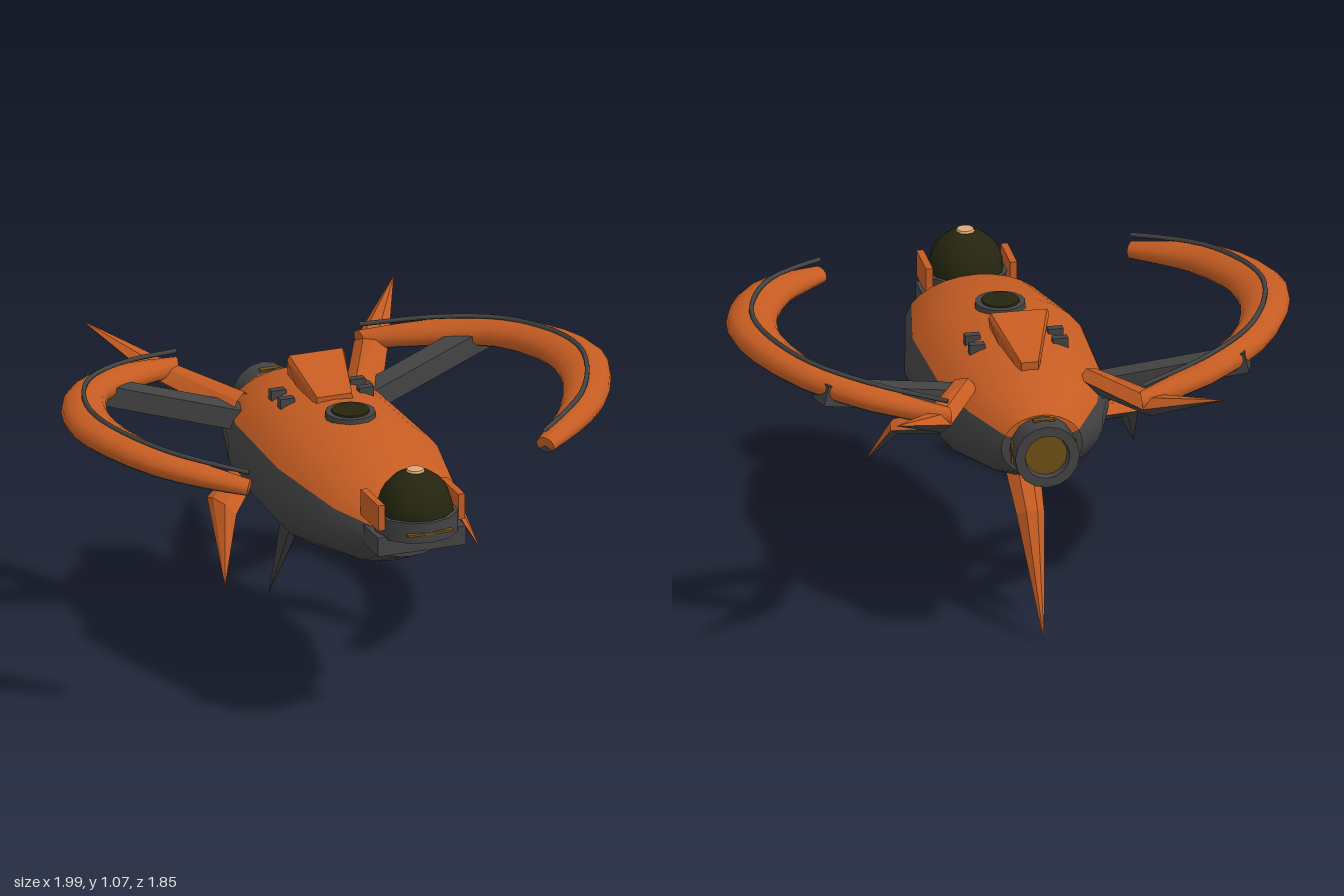
import * as THREE from 'three';
import { toCreasedNormals } from 'three/addons/utils/BufferGeometryUtils.js';
import { ConvexGeometry } from 'three/addons/geometries/ConvexGeometry.js';

const V = (x, y, z) => new THREE.Vector3(x, y, z);
const rad = THREE.MathUtils.degToRad;

function material(name, color) {
  const m = new THREE.MeshStandardMaterial({ color, side: THREE.DoubleSide });
  m.name = name;
  return m;
}

// Skin over rows of points, all rows the same length
function loft(rows, crease) {
  const n = rows[0].length, index = [];
  for (let i = 0; i < rows.length - 1; i++) {
    for (let j = 0; j < n - 1; j++) {
      const a = i * n + j, b = a + 1, c = a + n, d = c + 1;
      index.push(a, b, c, b, d, c);
    }
  }
  const g = new THREE.BufferGeometry().setFromPoints(rows.flat());
  g.setIndex(index);
  return toCreasedNormals(g, crease);
}

// Row of points on an elliptical section between two angles (degrees)
function arc(centre, u, v, from, to, steps) {
  return Array.from({ length: steps + 1 }, (_, k) => {
    const a = rad(from + (to - from) * k / steps);
    return centre.clone().addScaledVector(u, Math.cos(a)).addScaledVector(v, Math.sin(a));
  });
}

export function createModel() {
  const group = new THREE.Group();
  const orange = material('orange paint', 0xc55c22);
  const dark = material('dark grey metal', 0x434343);
  const glass = material('dark olive glass', 0x25250f);
  const gold = material('dull gold', 0x6e5014);
  const tan = material('pale tan', 0xd9a878);

  const add = (name, geo, mat, x = 0, y = 0, z = 0) => {
    const m = new THREE.Mesh(geo, mat);
    m.name = name;
    m.position.set(x, y, z);
    group.add(m);
    return m;
  };
  const box = (name, mat, w, h, d, x, y, z) => add(name, new THREE.BoxGeometry(w, h, d), mat, x, y, z);

  // Hull: z, half width, bottom, top
  const hull = [
    [0.73, 0.15, 0.64, 0.82], [0.58, 0.255, 0.57, 0.89], [0.22, 0.33, 0.49, 0.96],
    [-0.22, 0.315, 0.50, 0.96], [-0.44, 0.25, 0.56, 0.92], [-0.59, 0.145, 0.62, 0.85],
  ];
  const hullRows = (from, to, steps) => {
    const rows = hull.map(([z, w, b, t]) =>
      arc(V(0, (b + t) / 2, z), V(w, 0, 0), V(0, (t - b) / 2, 0), from, to, steps));
    const cap = (r, h) => r.map(() => V(0, (h[2] + h[3]) / 2, h[0]));
    return [cap(rows[0], hull[0]), ...rows, cap(rows[0], hull.at(-1))];
  };
  add('upperHull', loft(hullRows(25, 155, 10), 0.7), orange);
  add('lowerHull', loft(hullRows(155, 385, 14), 0.7), dark);

  // Cockpit turret on the nose
  add('turretBase', new THREE.CylinderGeometry(0.15, 0.15, 0.075, 12), dark, 0, 0.798, 0.77);
  box('noseBlock', dark, 0.33, 0.07, 0.15, 0, 0.735, 0.76);
  box('noseLight', gold, 0.17, 0.008, 0.02, 0, 0.795, 0.91);
  const dome = add('cockpitDome', new THREE.SphereGeometry(0.135, 12, 7, 0, Math.PI * 2, 0, Math.PI / 2), glass, 0, 0.833, 0.77);
  dome.scale.y = 1.1;
  add('domeCap', new THREE.CylinderGeometry(0.03, 0.034, 0.009, 10), tan, 0, 0.98, 0.77);
  for (const s of [1, -1]) box('turretGuard', orange, 0.025, 0.095, 0.17, s * 0.15, 0.842, 0.745);

  // Rear engine
  const nozzle = [[0, 0], [0.115, 0], [0.115, 0.12], [0.08, 0.12], [0.075, 0.09], [0, 0.09]].map(p => new THREE.Vector2(...p));
  const engine = add('engineNozzle', toCreasedNormals(new THREE.LatheGeometry(nozzle, 16), 0.6), dark, 0, 0.732, -0.57);
  engine.rotation.x = -Math.PI / 2;
  const glow = add('engineGlow', new THREE.CircleGeometry(0.075, 16), gold, 0, 0.732, -0.665);
  glow.rotation.y = Math.PI;
  for (let k = 0; k < 4; k++) {
    const a = k * Math.PI / 2;
    const plate = box('engineMark', gold, 0.15, 0.008, 0.022, Math.sin(a) * 0.113, 0.732 + Math.cos(a) * 0.113, -0.622);
    plate.scale.x = 0.5;
    plate.rotation.z = -a;
  }

  // Dorsal intake, roof hatch and vents
  const crest = [];
  for (const s of [1, -1]) {
    crest.push(V(s * 0.07, 0.94, 0), V(s * 0.065, 0.975, 0), V(s * 0.108, 1.055, -0.18), V(s * 0.1, 1.073, -0.18),
      V(s * 0.065, 0.93, -0.18), V(s * 0.03, 0.96, -0.375), V(s * 0.03, 0.91, -0.375));
  }
  add('dorsalIntake', new ConvexGeometry(crest), orange);
  add('hatchRim', new THREE.CylinderGeometry(0.088, 0.092, 0.05, 16), dark, 0, 0.947, 0.15);
  add('hatchGlass', new THREE.CylinderGeometry(0.066, 0.068, 0.008, 16), glass, 0, 0.974, 0.15);
  for (const s of [1, -1]) {
    for (const z of [-0.17, -0.085]) box('vent', dark, 0.055, 0.045, 0.03, s * 0.148, 0.935, z);
  }

  // Fin from [edge A, edge B, half thickness] sections; upper side orange, under side dark
  function fin(name, sections, up) {
    const side = sign => sections.map(([a, b, t]) =>
      [a, a.clone().lerp(b, 0.3).addScaledVector(up, sign * t), a.clone().lerp(b, 0.7).addScaledVector(up, sign * t), b]);
    add(name + 'Top', loft(side(1), 0.2), orange);
    add(name + 'Underside', loft(side(-1), 0.2), dark);
  }

  fin('ventralFin', [
    [V(-0.065, 0.54, -0.20), V(0.065, 0.54, -0.20), 0.04],
    [V(-0.05, 0.39, -0.385), V(0.05, 0.39, -0.385), 0.035],
    [V(0, 0, -0.63), V(0, 0, -0.63), 0],
  ], V(0, 0.6, -0.8));

  // Half ring, seen from above: outer x, outer z, inner x, inner z, half height
  const ring = [
    [0.34, -0.68, 0.35, -0.605, 0.035], [0.61, -0.585, 0.55, -0.475, 0.042], [0.83, -0.40, 0.71, -0.34, 0.047],
    [0.955, -0.185, 0.795, -0.15, 0.05], [0.997, 0.02, 0.815, 0.015, 0.05], [0.955, 0.21, 0.785, 0.18, 0.05],
    [0.85, 0.41, 0.70, 0.365, 0.045], [0.71, 0.54, 0.615, 0.475, 0.038], [0.575, 0.63, 0.535, 0.565, 0.028],
  ];
  const level = x => 0.84 + 0.16 * x;

  for (const s of [1, -1]) {
    const outer = new THREE.CatmullRomCurve3(ring.map(([x, z]) => V(s * x, level(x), z)));
    const inner = new THREE.CatmullRomCurve3(ring.map(([, , x, z]) => V(s * x, level(x), z)));
    const height = new THREE.CatmullRomCurve3(ring.map((r, i) => V(i, r[4], 0)));
    const ringRows = (from, to, steps) => {
      const rows = [];
      for (let i = 0; i <= 16; i++) {
        const o = outer.getPoint(i / 16), n = inner.getPoint(i / 16), h = height.getPoint(i / 16).y;
        const c = o.clone().lerp(n, 0.5);
        const row = arc(c, o.sub(c), V(-s * 0.16 * h, h, 0), from, to, steps);
        const cap = row.map(() => c);
        if (i === 0) rows.push(cap);
        rows.push(row);
        if (i === 16) rows.push(cap);
      }
      return rows;
    };
    add('ringTop', loft(ringRows(-35, 215, 10), 0.9), orange);
    add('ringUnderside', loft(ringRows(215, 325, 5), 0.9), dark);

    // Dark rail along the ring
    const rail = new THREE.CatmullRomCurve3(ring.map(([ox, oz, ix, iz]) =>
      V(s * (ox + ix) / 2, 0.903 + 0.15 * (ox + ix) / 2, (oz + iz) / 2)));
    add('ringRail', new THREE.TubeGeometry(rail, 28, 0.009, 6), dark);

    // Strut to the ring
    const a = V(s * 0.2, 0.81, -0.29), b = V(s * 0.76, 0.945, -0.455);
    const strut = box('ringStrut', dark, 0.085, 0.075, a.distanceTo(b), 0, 0, 0);
    strut.position.copy(a).lerp(b, 0.5);
    strut.lookAt(b);

    fin('rearFin', [
      [V(s * 0.28, 0.83, -0.27), V(s * 0.18, 0.87, -0.35), 0.04],
      [V(s * 0.445, 0.88, -0.62), V(s * 0.34, 0.88, -0.68), 0.035],
      [V(s * 0.585, 1.0, -0.925), V(s * 0.585, 1.0, -0.925), 0],
    ], V(0, 1, 0));

    fin('sideFin', [
      [V(s * 0.29, 0.67, -0.23), V(s * 0.29, 0.64, -0.07), 0.035],
      [V(s * 0.44, 0.62, -0.10), V(s * 0.38, 0.595, 0.03), 0.025],
      [V(s * 0.48, 0.39, 0.175), V(s * 0.48, 0.39, 0.175), 0],
    ], V(s * 0.5, 0.8, 0.3));
  }
  return group;
}
